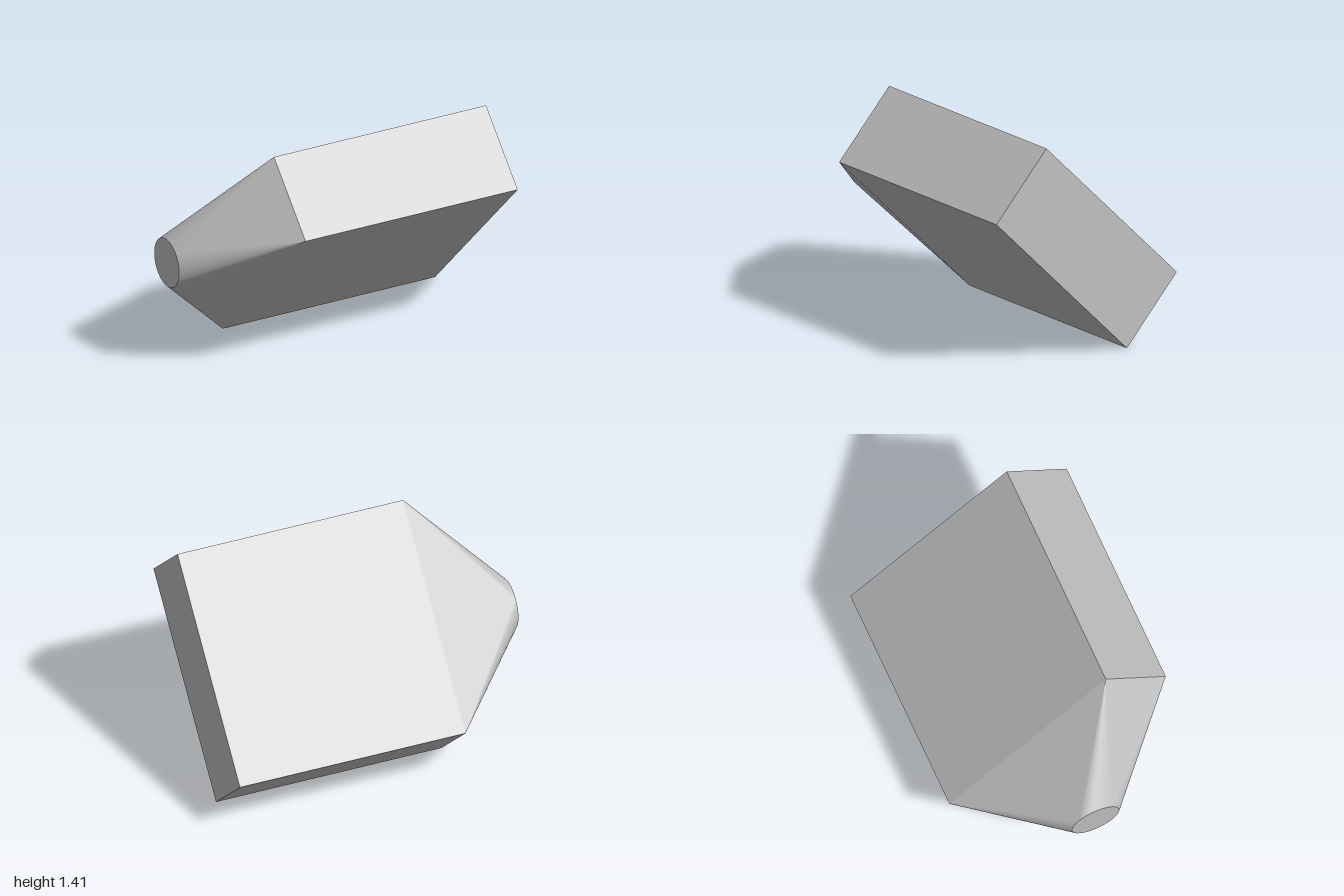
import * as THREE from 'three';

const HALF_THICK = 0.277, HALF_WIDTH = 0.723; // rectangular section
const RADIUS = 0.154;                         // round end
const X_ROUND = -1, X_RECT = -0.444, X_END = 1;
const SEGMENTS = 16;                          // per quarter of the round end

// Square-to-round transition: four flat triangles and four conical corner sectors
function transitionGeometry() {
  const positions = [], normals = [];
  const rim = (t) => new THREE.Vector3(X_ROUND, RADIUS * Math.sin(t), RADIUS * Math.cos(t));
  const corner = (k) => {
    const a = (k + 0.5) * Math.PI / 2;
    return new THREE.Vector3(X_RECT, HALF_THICK * Math.sign(Math.sin(a)), HALF_WIDTH * Math.sign(Math.cos(a)));
  };
  const normalAt = (t, q) => q.clone().sub(rim(t))
    .cross(new THREE.Vector3(0, Math.cos(t), -Math.sin(t))).normalize();
  const add = (points, ns) => points.forEach((p, i) => {
    positions.push(p.x, p.y, p.z);
    normals.push(ns[i].x, ns[i].y, ns[i].z);
  });

  for (let k = 0; k < 4; k++) {
    const start = k * Math.PI / 2, q = corner(k);
    const flat = normalAt(start, q);
    add([corner(k - 1), q, rim(start)], [flat, flat, flat]);
    for (let i = 0; i < SEGMENTS; i++) {
      const step = Math.PI / 2 / SEGMENTS;
      const t0 = start + i * step, t1 = t0 + step;
      add([rim(t1), rim(t0), q], [normalAt(t1, q), normalAt(t0, q), normalAt(t0 + step / 2, q)]);
    }
  }
  const geometry = new THREE.BufferGeometry();
  geometry.setAttribute('position', new THREE.Float32BufferAttribute(positions, 3));
  geometry.setAttribute('normal', new THREE.Float32BufferAttribute(normals, 3));
  return geometry;
}

export function createModel() {
  const grey = new THREE.MeshStandardMaterial({ color: 0xc0c0c0 });
  grey.name = 'grey';
  const group = new THREE.Group();
  group.name = 'ductTransition';
  const add = (name, geometry) => {
    const mesh = new THREE.Mesh(geometry, grey);
    mesh.name = name;
    group.add(mesh);
    return mesh;
  };

  // Straight rectangular body
  add('rectangularBody', new THREE.BoxGeometry(X_END - X_RECT, 2 * HALF_THICK, 2 * HALF_WIDTH))
    .position.x = (X_END + X_RECT) / 2;

  // Tapered end and its round cap
  add('taperedEnd', transitionGeometry());
  add('roundCap', new THREE.CircleGeometry(RADIUS, SEGMENTS * 4).rotateY(-Math.PI / 2))
    .position.x = X_ROUND;

  // The whole block is rolled 45 degrees about its length
  group.rotation.x = -Math.PI / 4;
  group.position.y = 0.707;

  const model = new THREE.Group();
  model.name = 'model';
  model.add(group);
  return model;
}
